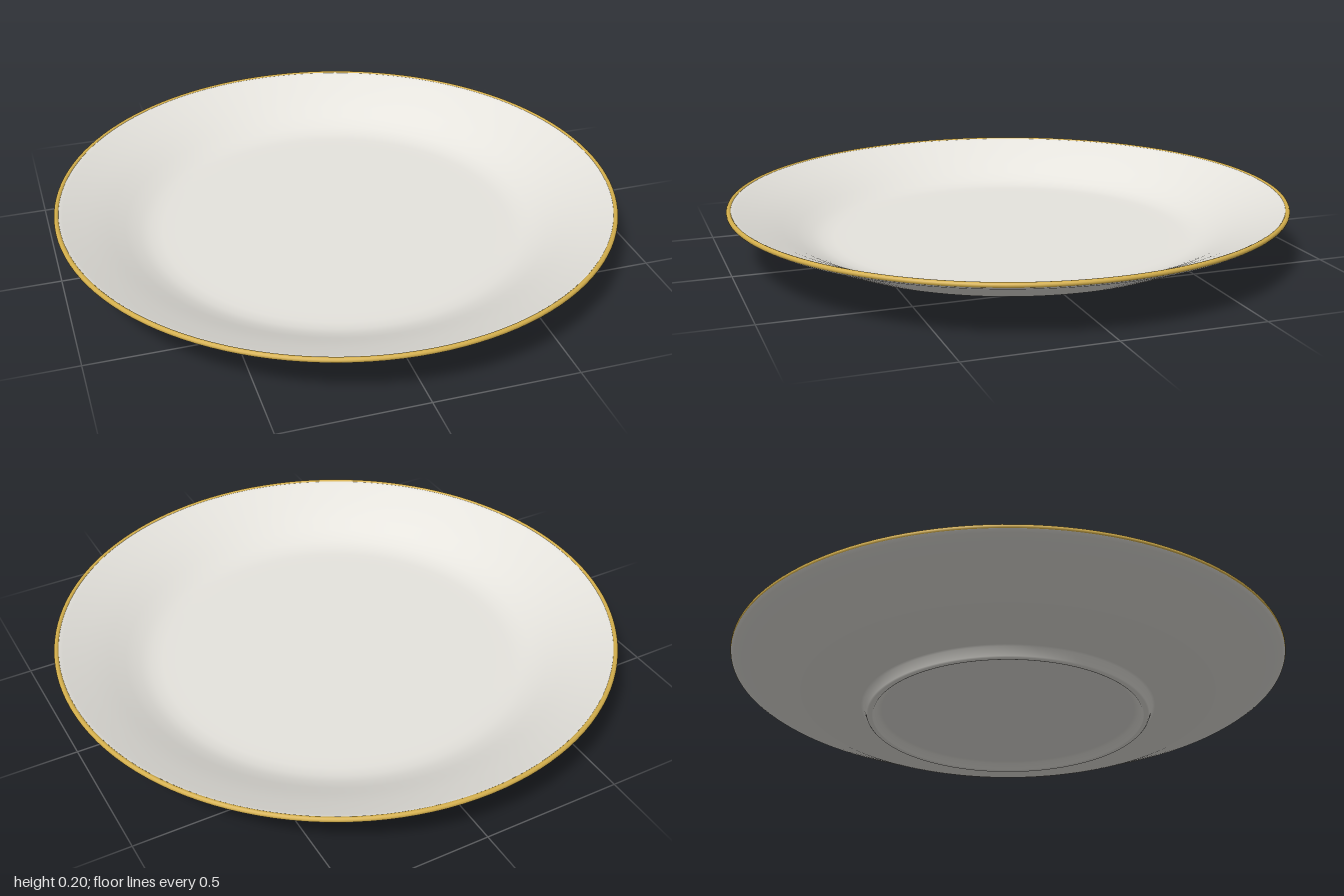
import * as THREE from 'three';

const SEGMENTS = 128;

function lathe(name, profile, material) {
  const points = profile.map(([r, y]) => new THREE.Vector2(r, y));
  const mesh = new THREE.Mesh(new THREE.LatheGeometry(points, SEGMENTS), material);
  mesh.name = name;
  return mesh;
}

export function createModel() {
  const porcelain = new THREE.MeshStandardMaterial({ color: 0xe6e4de });
  porcelain.name = 'porcelain';
  const gold = new THREE.MeshStandardMaterial({ color: 0xd4af4c });
  gold.name = 'gold';

  const plate = new THREE.Group();
  plate.name = 'plate';

  // Underside: recessed base, narrow foot ring, then the sloping outer wall
  const underside = [
    [0, 0.025], [0.455, 0.025], [0.47, 0.022], [0.485, 0.002], [0.49, 0],
    [0.503, 0], [0.508, 0.005], [0.52, 0.034], [0.53, 0.037],
    [0.735, 0.068], [0.755, 0.074], [0.92, 0.147], [0.985, 0.176], [0.997, 0.184],
  ];
  // Upper side: rolled lip, curved well and flat floor
  const upperSide = [
    [0.998, 0.191], [0.992, 0.197], [0.983, 0.196], [0.97, 0.191],
    [0.89, 0.16], [0.81, 0.125], [0.76, 0.1], [0.71, 0.079],
    [0.67, 0.068], [0.63, 0.065], [0.58, 0.065], [0, 0.065],
  ];
  plate.add(lathe('dish', [...underside, ...upperSide], porcelain));

  // Gilded line around the lip
  const rim = new THREE.Mesh(new THREE.TorusGeometry(0.991, 0.009, 12, SEGMENTS), gold);
  rim.name = 'gildedRim';
  rim.rotation.x = Math.PI / 2;
  rim.position.y = 0.191;
  plate.add(rim);

  return plate;
}
